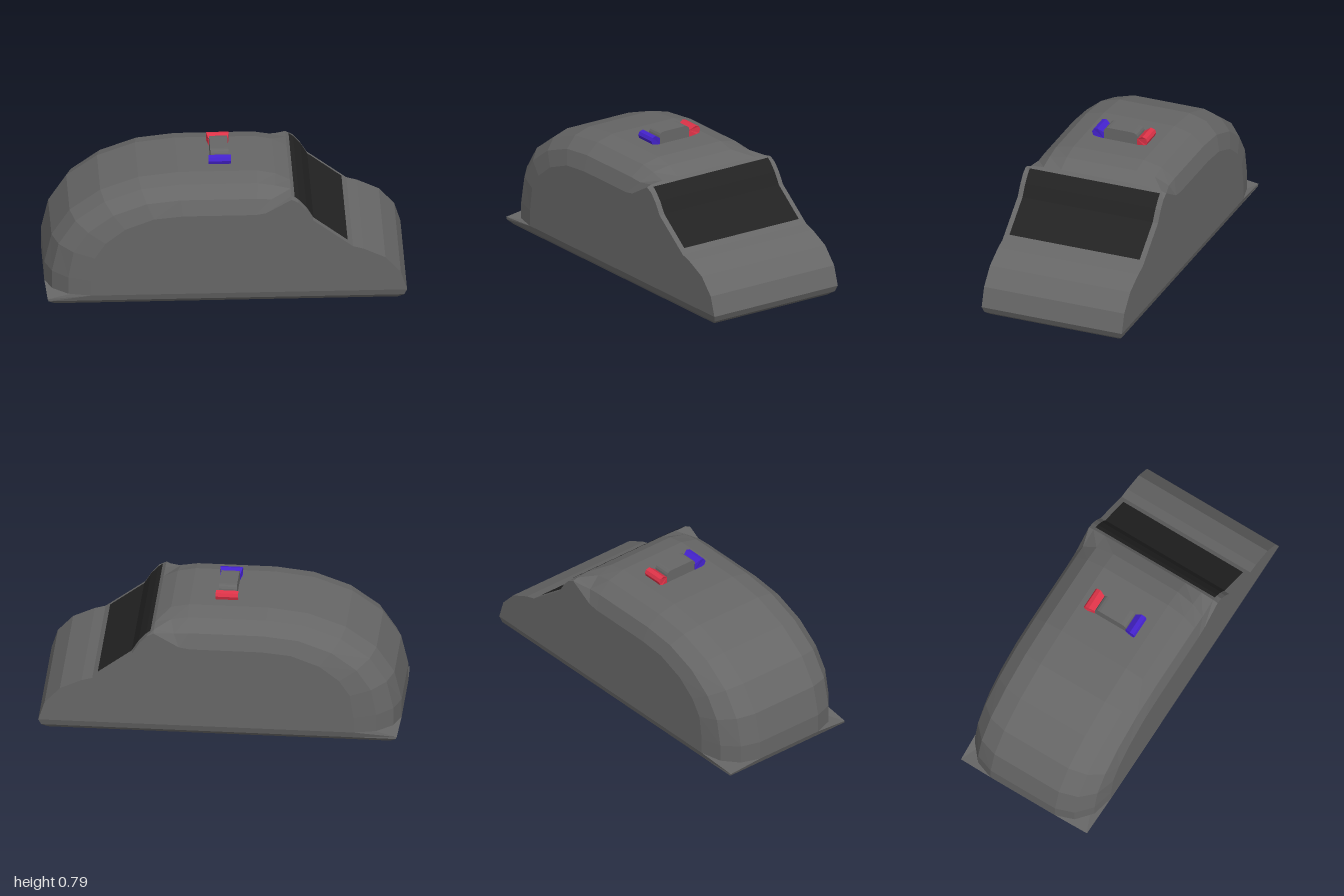
import * as THREE from 'three';

const paint = (color) => new THREE.MeshStandardMaterial({ color, flatShading: true });

// Mesh from a grid of points: rows of equal length, counter-clockwise quads
function gridGeometry(rows) {
  const n = rows[0].length, index = [];
  for (let j = 0; j < rows.length - 1; j++)
    for (let i = 0; i < n - 1; i++) {
      const a = j * n + i, b = a + 1, d = a + n, c = d + 1;
      index.push(a, b, c, a, c, d);
    }
  return finish(rows.flat(), index);
}

function finish(points, index) {
  const g = new THREE.BufferGeometry();
  g.setAttribute('position', new THREE.Float32BufferAttribute(points.flat(), 3));
  g.setIndex(index);
  const flat = g.toNonIndexed();
  flat.computeVertexNormals();
  return flat;
}

// Cabin profile [x, y] at the centre line and at the side panels, rear to front
const crown = [[-1, 0.07], [-1, 0.18], [-0.96, 0.35], [-0.86, 0.5], [-0.69, 0.62], [-0.48, 0.695],
  [-0.26, 0.72], [0.18, 0.72], [0.28, 0.7], [0.36, 0.66], [0.4, 0.62]];
const flank = [[-0.75, 0.07], [-0.75, 0.16], [-0.73, 0.3], [-0.67, 0.39], [-0.56, 0.475], [-0.4, 0.535],
  [-0.24, 0.55], [0.16, 0.55], [0.22, 0.56], [0.36, 0.64], [0.4, 0.62]];
// Windscreen and bonnet run the full width
const nose = [[0.44, 0.575], [0.48, 0.51], [0.7, 0.345], [0.76, 0.328], [0.88, 0.272],
  [0.965, 0.18], [1, 0.07]];

function contour(w) {
  const cabin = crown.map(([x, y], i) => [x + (flank[i][0] - x) * w, y + (flank[i][1] - y) * w]);
  return [...cabin, ...nose];
}

// Extrude a (z, y) outline across x, centred on x = cx
function acrossX(shape, width, cx) {
  const g = new THREE.ExtrudeGeometry(shape, { depth: width, bevelEnabled: false, curveSegments: 4 });
  return g.translate(0, 0, -width / 2).rotateY(-Math.PI / 2).translate(cx, 0, 0);
}

export function createModel() {
  const group = new THREE.Group();
  const grey = paint(0x666666), black = paint(0x222222);
  const add = (name, geometry, material) => {
    const mesh = new THREE.Mesh(geometry, material);
    mesh.name = name;
    group.add(mesh);
    return mesh;
  };

  // Body shell: contours lofted across the width, rounding off at the shoulders
  const stations = [[0.42, 1], [0.39, 0.5], [0.315, 0.15], [0.21, 0]];
  const across = [...stations, ...stations.slice().reverse().map(([z, w]) => [-z, w])];
  add('bodyShell', gridGeometry(across.map(([z, w]) => contour(w).map(([x, y]) => [x, y, z]))), grey);

  // Flat side panels
  const outline = new THREE.Shape(contour(1).map(([x, y]) => new THREE.Vector2(x, y)));
  add('leftPanel', new THREE.ShapeGeometry(outline).translate(0, 0, 0.42), grey);
  const right = new THREE.ShapeGeometry(outline).rotateY(Math.PI);
  right.scale(-1, 1, 1).translate(0, 0, -0.42);
  right.index.array.reverse();
  right.computeVertexNormals();
  add('rightPanel', right, grey);

  // Chassis: stacked rings with bevelled lower edges and dropped rear corners
  const levels = [[0, 0.9, 0.34], [0.01, 0.95, 0.385], [0.035, 0.985, 0.41], [0.07, 1, 0.42]];
  const rings = levels.map(([y, hx, hz], k) => {
    const top = k === 3, cy = top ? 0.048 : y, cx = top ? -0.99 : -hx, cz = top ? 0.41 : hz;
    return [[hx, y, hz], [hx, y, -hz], [-0.75, y, -hz], [cx, cy, -cz], [-hx, y, -hz / 2],
      [-hx, y, hz / 2], [cx, cy, cz], [-0.75, y, hz], [hx, y, hz]];
  });
  add('chassis', gridGeometry(rings), grey);
  for (const [name, ring, up] of [['chassisTop', rings[3], true], ['floor', rings[0], false]]) {
    const index = [];
    for (let i = 1; i < 9; i++) index.push(0, up ? i : i + 1, up ? i + 1 : i);
    add(name, finish([[0, up ? 0.068 : 0, 0], ...ring], index), grey);
  }

  // Windscreen laid just over the sloping front
  const glass = [[0.379, 0.643], [0.404, 0.623], [0.444, 0.578], [0.483, 0.513], [0.672, 0.37]];
  add('windscreen', gridGeometry([0.39, -0.39].map((z) => glass.map(([x, y]) => [x, y, z]))), black);

  // Roof light bar with rounded upper corners
  const bar = new THREE.Shape();
  bar.moveTo(-0.11, 0.71);
  bar.lineTo(0.096, 0.71);
  bar.lineTo(0.096, 0.755);
  bar.quadraticCurveTo(0.094, 0.789, 0.062, 0.789);
  bar.lineTo(-0.076, 0.789);
  bar.quadraticCurveTo(-0.108, 0.789, -0.11, 0.755);
  add('lightBar', acrossX(bar, 0.1, -0.025), grey);

  // Beacons: flared wedges at both ends of the bar
  const wedge = [[0, 0.72], [0.042, 0.73], [0.06, 0.735], [0.067, 0.755], [0.058, 0.773],
    [0.035, 0.78], [0, 0.757]];
  for (const [name, side, z0, color] of [['blueBeacon', 1, 0.092, 0x4422cc], ['redBeacon', -1, -0.107, 0xdd3348]]) {
    const shape = new THREE.Shape(wedge.map(([z, y]) => new THREE.Vector2(z0 + side * z, y)));
    const g = acrossX(shape, 0.125, 0);
    const p = g.attributes.position;
    for (let i = 0; i < p.count; i++) {
      const out = Math.abs(p.getZ(i) - z0);
      p.setX(i, p.getX(i) * (out < 0.01 ? 0.82 : 1) - 0.025);
    }
    g.computeVertexNormals();
    add(name, g, paint(color));
  }
  return group;
}
